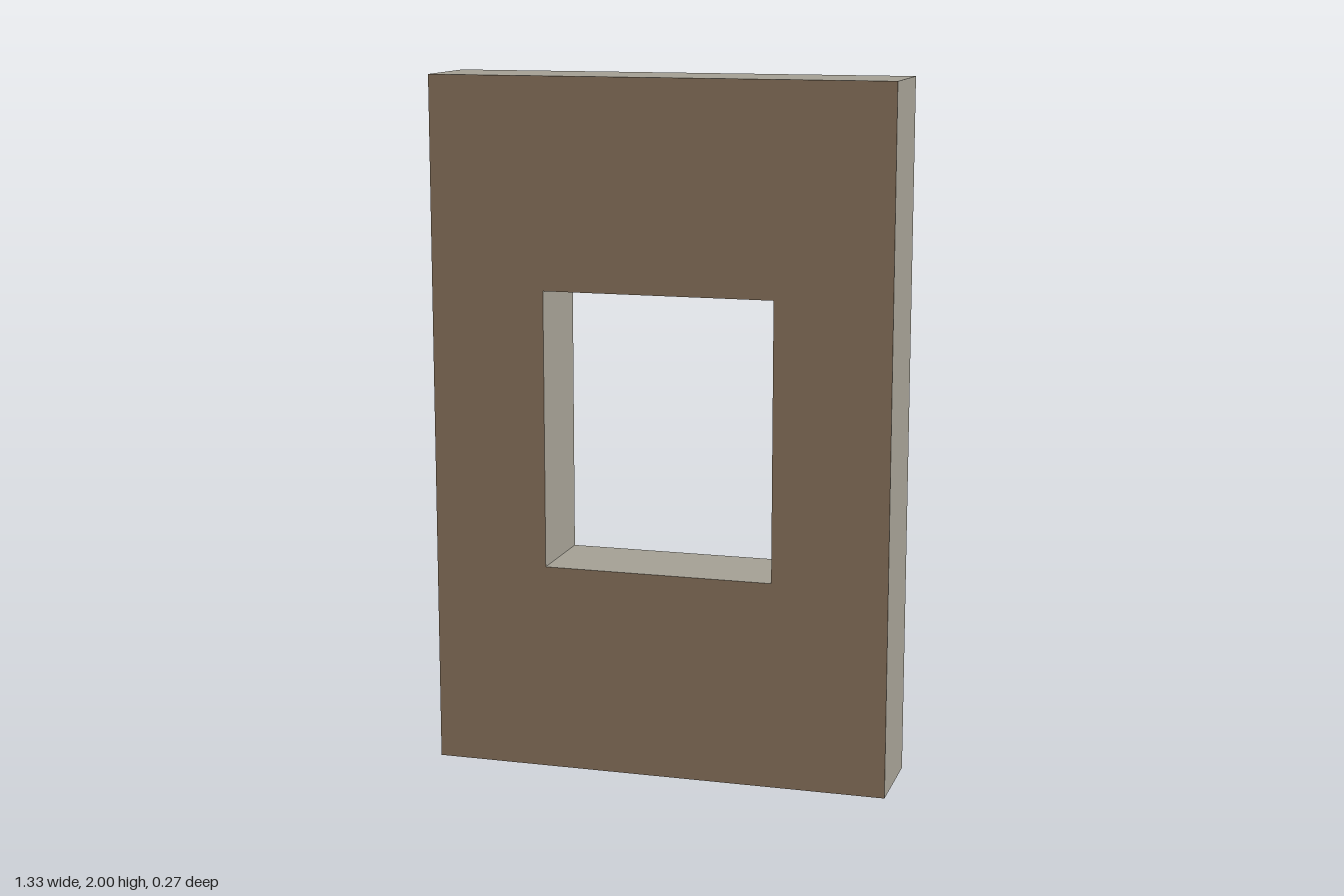
import * as THREE from 'three';

const WIDTH = 1.333, HEIGHT = 2, DEPTH = 0.266;
const OPENING = { width: 0.667, bottom: 0.6, top: 1.4 };

// Closed rectangle centred on x = 0
function rectangle(target, width, bottom, top) {
  const h = width / 2;
  target.moveTo(-h, bottom).lineTo(h, bottom).lineTo(h, top).lineTo(-h, top).closePath();
  return target;
}

export function createModel() {
  const group = new THREE.Group();
  group.name = 'windowWall';

  const plaster = new THREE.MeshStandardMaterial({ color: 0xa39f93 });
  const frontFinish = new THREE.MeshStandardMaterial({ color: 0x927a62 });

  // Wall slab with a rectangular window opening
  const outline = rectangle(new THREE.Shape(), WIDTH, 0, HEIGHT);
  outline.holes.push(rectangle(new THREE.Path(), OPENING.width, OPENING.bottom, OPENING.top));
  const geometry = new THREE.ExtrudeGeometry(outline, { depth: DEPTH, bevelEnabled: false });
  geometry.translate(0, 0, -DEPTH / 2);

  // The caps come first, back then front; only the front cap is brown
  const [caps, sides] = geometry.groups.map((g) => g.count);
  geometry.clearGroups();
  geometry.addGroup(0, caps / 2, 0);
  geometry.addGroup(caps / 2, caps / 2, 1);
  geometry.addGroup(caps, sides, 0);

  const wall = new THREE.Mesh(geometry, [plaster, frontFinish]);
  wall.name = 'wall';
  group.add(wall);
  return group;
}
